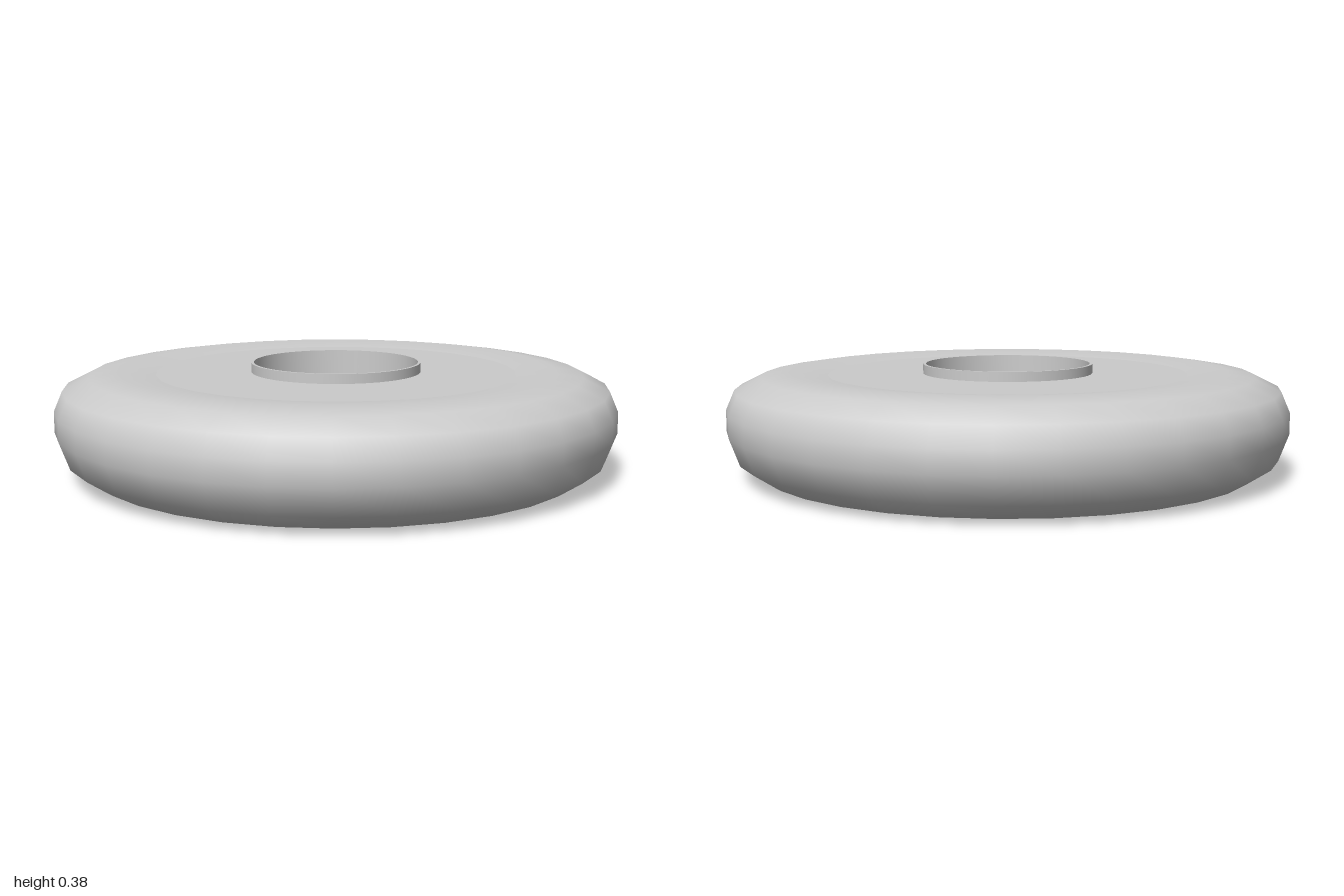
import * as THREE from 'three';
import { toCreasedNormals } from 'three/addons/utils/BufferGeometryUtils.js';

export function createModel() {
  const group = new THREE.Group();
  const material = new THREE.MeshStandardMaterial({ color: 0xcccccc });
  const add = (name, geometry, parent = group) => {
    const mesh = new THREE.Mesh(geometry, material);
    mesh.name = name;
    parent.add(mesh);
    return mesh;
  };
  const lathe = (points, segments) =>
    new THREE.LatheGeometry(points.map(([r, y]) => new THREE.Vector2(r, y)), segments);

  // Rounded tyre lying flat, with sides dipping slightly to the wheel faces
  add('tyre', lathe([
    [0.635, 0.022], [0.78, 0.005], [0.88, 0.014], [0.965, 0.07], [1, 0.165],
    [1, 0.24], [0.97, 0.31], [0.88, 0.355], [0.78, 0.37], [0.635, 0.355],
  ], 32));

  // Flat wheel faces
  const topFace = add('upperWheelFace', new THREE.RingGeometry(0.3, 0.645, 32));
  topFace.rotation.x = -Math.PI / 2;
  topFace.position.y = 0.356;
  const bottomFace = add('lowerWheelFace', new THREE.RingGeometry(0.3, 0.645, 32));
  bottomFace.rotation.x = Math.PI / 2;
  bottomFace.position.y = 0.022;

  // Hollow hub cup, open above and closed below
  add('hub', toCreasedNormals(lathe([
    [0, 0.016], [0.305, 0.016], [0.305, 0.39], [0.295, 0.39], [0.295, 0.03], [0, 0.03],
  ], 48), 0.6));

  // Five round spokes whose ends show inside the hub
  const spokes = new THREE.Group();
  spokes.name = 'spokes';
  group.add(spokes);
  for (let i = 0; i < 5; i++) {
    const geometry = new THREE.CylinderGeometry(0.067, 0.067, 0.36, 24);
    geometry.rotateZ(Math.PI / 2).translate(0.44, 0.155, 0);
    add('spoke', geometry, spokes).rotation.y = Math.PI + (i * Math.PI * 2) / 5;
  }

  // Raised arc pads underneath: inner radius, outer radius, span, middle angles
  const pads = new THREE.Group();
  pads.name = 'undersidePads';
  group.add(pads);
  const rings = [
    [0.31, 0.4, 34, [-41, 107, -143]],
    [0.4, 0.53, 44, [-90, 28]],
    [0.53, 0.64, 30, [-28, 81, 170]],
  ];
  for (const [inner, outer, span, angles] of rings) {
    for (const angle of angles) {
      const a = THREE.MathUtils.degToRad(angle - span / 2);
      const b = THREE.MathUtils.degToRad(angle + span / 2);
      const shape = new THREE.Shape();
      shape.absarc(0, 0, outer, a, b, false);
      shape.absarc(0, 0, inner, b, a, true);
      const geometry = new THREE.ExtrudeGeometry(shape, { depth: 0.014, bevelEnabled: false, curveSegments: 8 });
      geometry.rotateX(Math.PI / 2).translate(0, 0.024, 0);
      add('pad', geometry, pads);
    }
  }
  return group;
}
